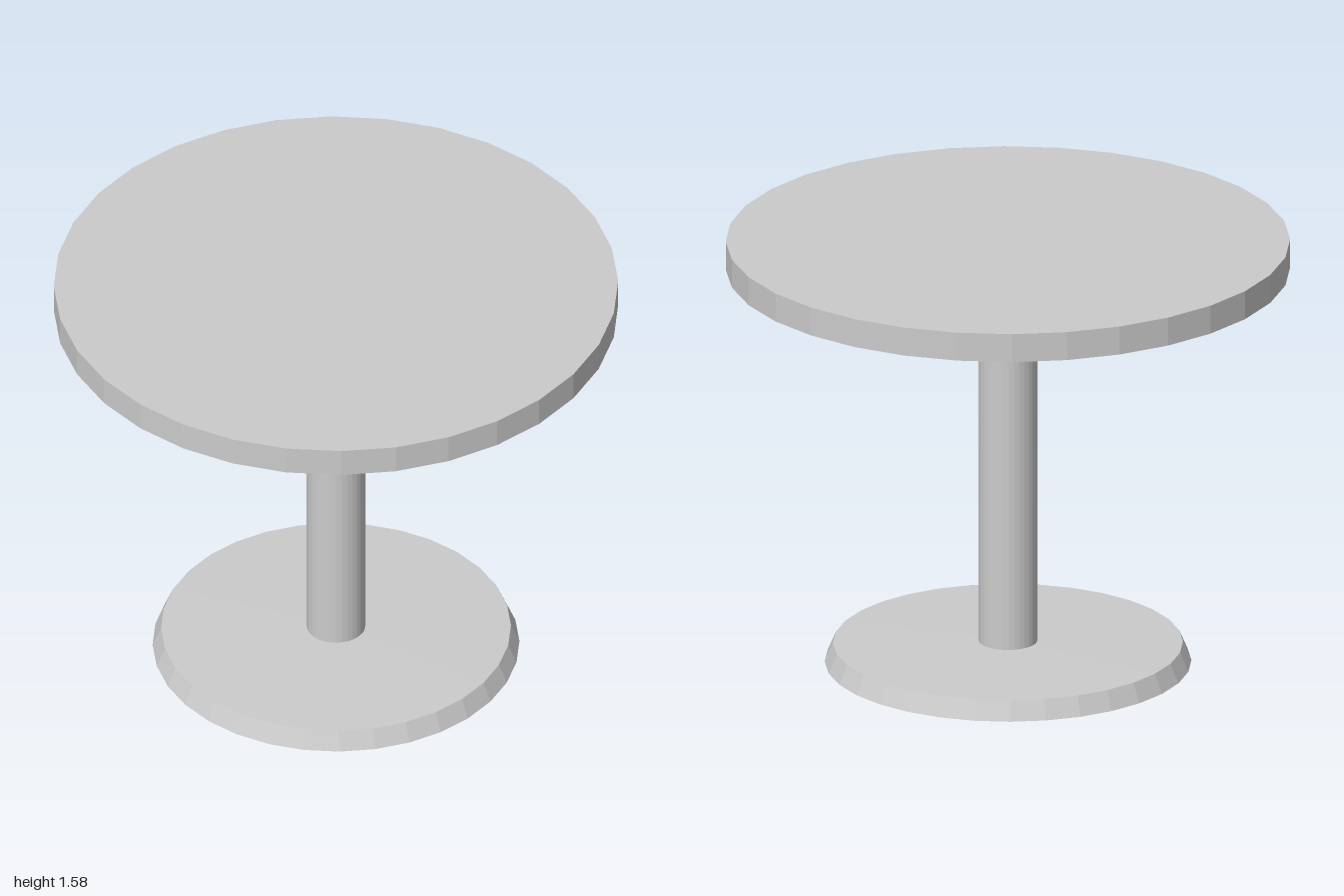
import * as THREE from 'three';

const SIDES = 32;

export function createModel() {
  const group = new THREE.Group();
  const material = new THREE.MeshStandardMaterial({ color: 0xcccccc, flatShading: true });

  // Turns a profile of [radius, height] points, listed from bottom to top
  const addTurned = (name, profile) => {
    const points = profile.map(([r, y]) => new THREE.Vector2(r, y));
    const mesh = new THREE.Mesh(new THREE.LatheGeometry(points, SIDES), material);
    mesh.name = name;
    group.add(mesh);
  };

  // Round foot with a bevelled rim and a top rising slightly to the column
  addTurned('base', [[0, 0], [0.65, 0], [0.62, 0.07], [0.104, 0.077]]);

  // Straight central column
  addTurned('column', [[0.104, 0.077], [0.104, 1.46]]);

  // Round top with a shallow conical underside
  addTurned('tableTop', [[0.104, 1.46], [1, 1.475], [1, 1.58], [0, 1.58]]);

  return group;
}
